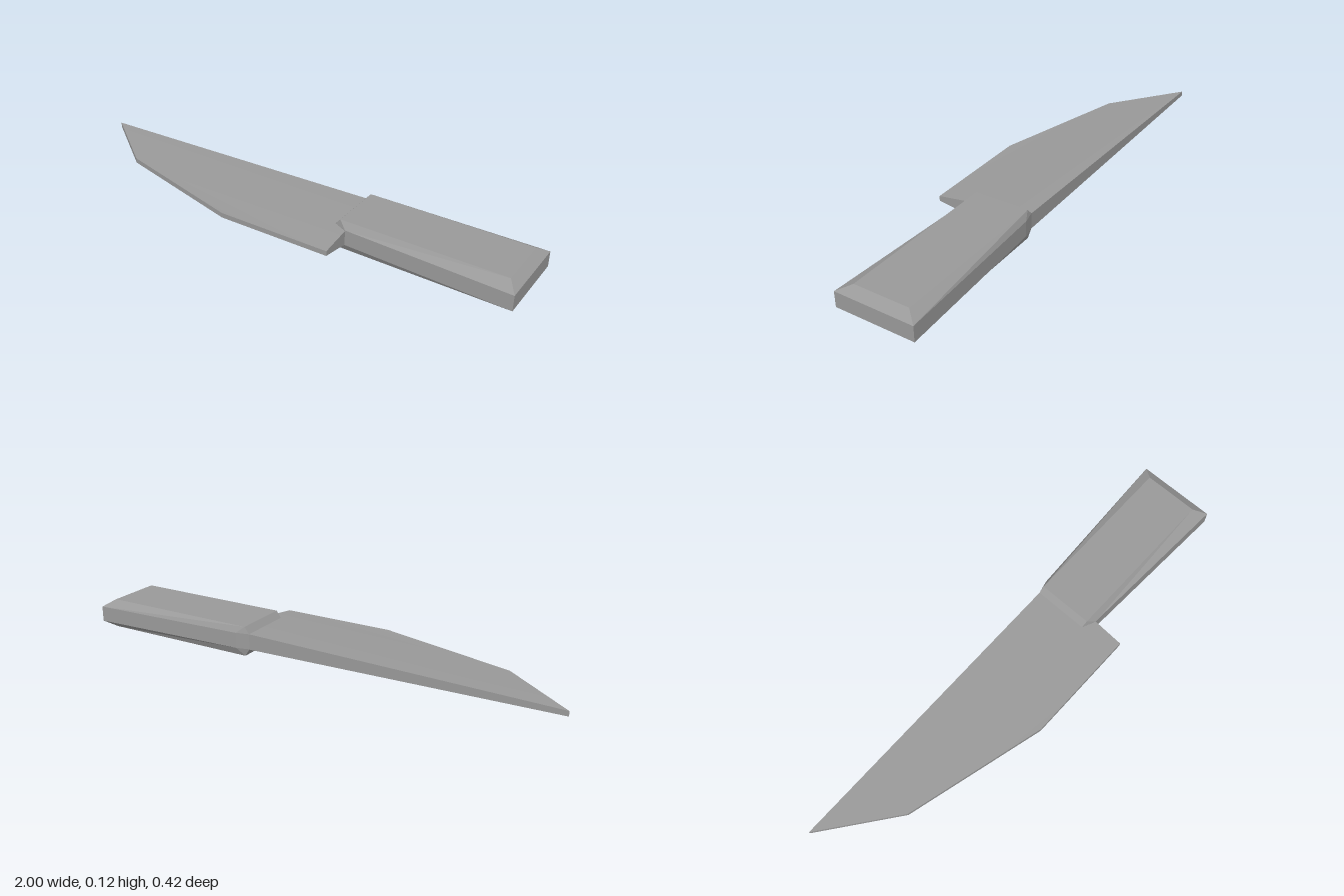
import * as THREE from 'three';
import { toCreasedNormals } from 'three/addons/utils/BufferGeometryUtils.js';

// Fans each polygon (counter-clockwise from outside) into triangles, skipping slivers.
function fromPolygons(polygons, crease) {
  const pos = [];
  const same = (a, b) => a.every((v, i) => v === b[i]);
  for (const p of polygons) {
    for (let i = 1; i < p.length - 1; i++) {
      const [a, b, c] = [p[0], p[i], p[i + 1]];
      if (same(a, b) || same(b, c) || same(a, c)) continue;
      pos.push(...a, ...b, ...c);
    }
  }
  const geo = new THREE.BufferGeometry();
  geo.setAttribute('position', new THREE.Float32BufferAttribute(pos, 3));
  geo.computeVertexNormals();
  return toCreasedNormals(geo, crease);
}

// Quads joining a lower ring to an upper ring.
function walls(low, high) {
  return low.map((p, i) => {
    const j = (i + 1) % low.length;
    return [p, low[j], high[j], high[i]];
  });
}

// Blade: thick at the spine and heel, thinning to the tip and cutting edge.
function bladeGeometry() {
  const midY = 0.063;
  // x, z, half thickness: tip, lower tip, belly, edge heel, ridge heel, spine heel
  const outline = [
    [-1, -0.167, 0.01], [-0.71, 0.056, 0.01], [-0.14, 0.207, 0.01],
    [0.33, 0.207, 0.01], [0.33, 0.056, 0.033], [0.33, -0.167, 0.033],
  ];
  const top = outline.map(([x, z, h]) => [x, midY + h, z]);
  const bottom = outline.map(([x, z, h]) => [x, midY - h, z]);
  const faces = [[0, 1, 4, 5], [1, 2, 3, 4]];
  return fromPolygons([
    ...faces.map((f) => f.map((i) => top[i])),
    ...faces.map((f) => f.map((i) => bottom[i]).reverse()),
    ...walls(bottom, top),
  ], 0.3);
}

// Handle: flared bar with chamfered faces and a narrowed nose over the blade.
function handleGeometry() {
  const girth = [
    [0.275, -0.167], [0.275, 0.056], [0.33, 0.08],
    [1, 0.112], [1, -0.21], [0.33, -0.18],
  ];
  const cap = [
    [0.297, -0.165], [0.297, 0.06], [0.297, 0.06],
    [0.962, 0.06], [0.962, -0.165], [0.297, -0.165],
  ];
  const ring = (points, y) => points.map(([x, z]) => [x, y, z]);
  const rings = [ring(cap, 0), ring(girth, 0.032), ring(girth, 0.095), ring(cap, 0.121)];
  const flat = (r) => [r[0], r[1], r[3], r[4]];
  return fromPolygons([
    flat(rings[3]),
    flat(rings[0]).reverse(),
    ...[0, 1, 2].flatMap((i) => walls(rings[i], rings[i + 1])),
  ], 0.1);
}

export function createModel() {
  const group = new THREE.Group();
  group.name = 'knife';
  const grey = new THREE.MeshStandardMaterial({ color: 0x999999 });
  grey.name = 'grey';

  const blade = new THREE.Mesh(bladeGeometry(), grey);
  blade.name = 'blade';
  const handle = new THREE.Mesh(handleGeometry(), grey);
  handle.name = 'handle';
  group.add(blade, handle);
  return group;
}
